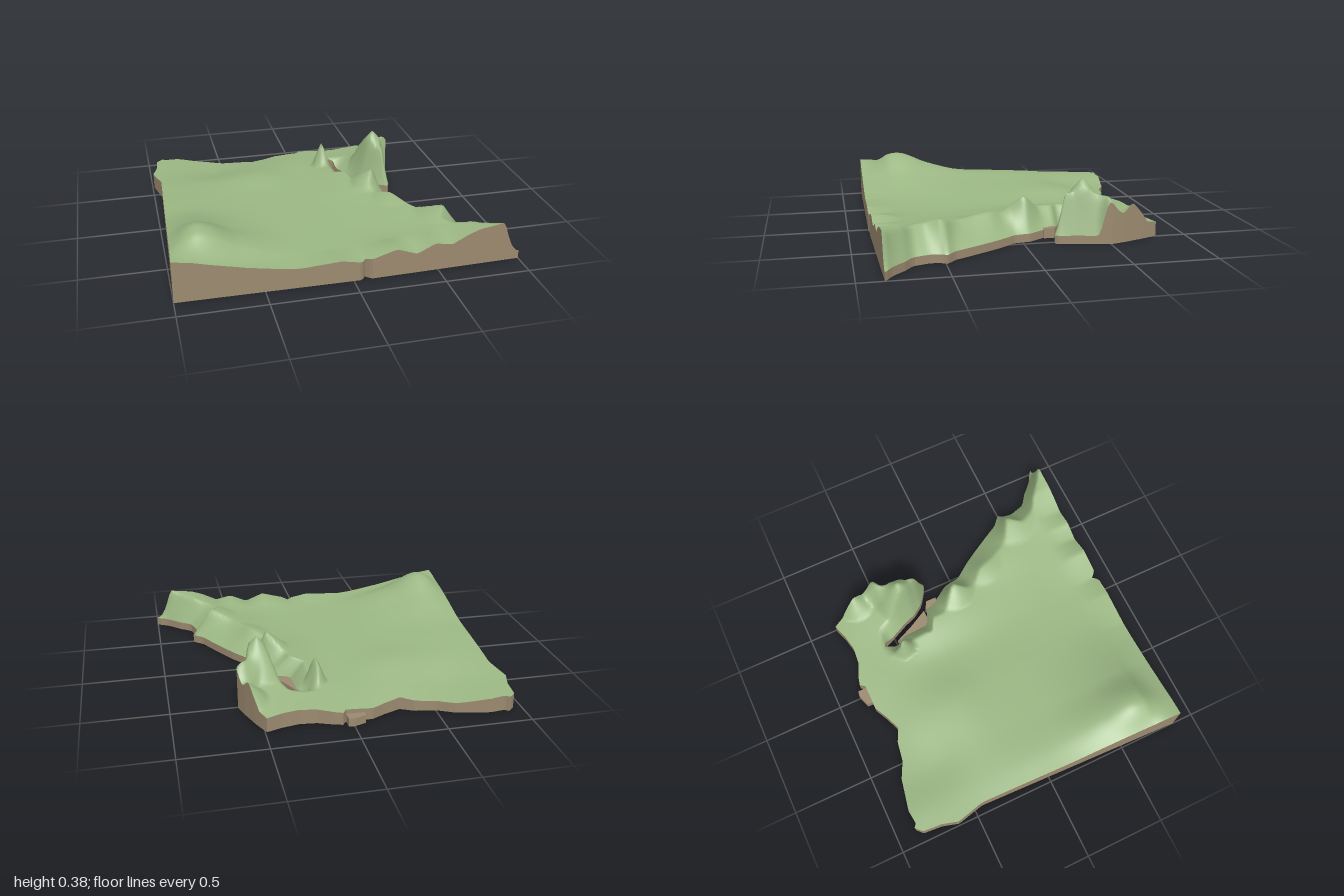
import * as THREE from 'three';

// piecewise linear profile through [t, value] pairs
function profile(points) {
  return (t) => {
    if (t <= points[0][0]) return points[0][1];
    for (let i = 1; i < points.length; i++) {
      const [a, va] = points[i - 1], [b, vb] = points[i];
      if (t <= b) return va + (vb - va) * (t - a) / (b - a);
    }
    return points[points.length - 1][1];
  };
}
const { smoothstep: step, lerp, clamp } = THREE.MathUtils;

// coastline of the main land and of the headland
const landLeft = profile([[-0.8, -0.95], [-0.7, -0.96], [-0.62, -0.99], [-0.45, -0.95], [0.87, -1]]);
const landRight = profile([[-0.57, 0.22], [-0.5, 0.21], [-0.45, 0.25], [-0.27, 0.26], [-0.23, 0.36],
  [-0.14, 0.4], [-0.05, 0.46], [0.05, 0.475], [0.15, 0.55], [0.23, 0.6], [0.35, 0.67], [0.44, 0.72],
  [0.49, 0.78], [0.52, 0.76], [0.58, 0.75], [0.68, 0.78], [0.73, 0.85], [0.78, 0.9], [0.84, 0.97], [0.87, 1]]);
const headLeft = profile([[-0.58, 0.22], [-0.57, 0.25], [-0.5, 0.28], [-0.4, 0.33], [-0.32, 0.36],
  [-0.25, 0.41], [-0.2, 0.48], [-0.18, 0.52]]);
const headRight = profile([[-0.8, 0.49], [-0.7, 0.54], [-0.6, 0.58], [-0.5, 0.61], [-0.4, 0.585],
  [-0.3, 0.56], [-0.2, 0.545], [-0.18, 0.53]]);
const backZ = profile([[-0.95, -0.84], [-0.91, -0.88], [-0.89, -0.86], [-0.8, -0.87], [-0.6, -0.83],
  [-0.5, -0.78], [-0.38, -0.76], [-0.3, -0.72], [-0.2, -0.76], [-0.12, -0.8], [0.04, -0.8], [0.06, -0.83],
  [0.1, -0.82], [0.2, -0.78], [0.3, -0.77], [0.4, -0.79], [0.49, -0.82]]);
const frontZ = profile([[-1, 0.865], [0, 0.875], [0.05, 0.875], [0.065, 0.84], [0.085, 0.84],
  [0.095, 0.873], [1, 0.85]]);
const frontHeight = profile([[-1, 0.25], [-0.9, 0.235], [-0.8, 0.21], [-0.6, 0.165], [-0.4, 0.13],
  [-0.3, 0.12], [-0.07, 0.135], [0.06, 0.11], [0.25, 0.165], [0.37, 0.12], [0.48, 0.17],
  [0.58, 0.15], [0.68, 0.2], [0.75, 0.225], [0.9, 0.245], [1, 0.05]]);
// width of the slope down to the right shore, narrow where ridges reach it
const shoreWidth = profile([[-0.55, 0.08], [-0.3, 0.08], [-0.15, 0.15], [-0.03, 0.09], [0.1, 0.18],
  [0.18, 0.15], [0.3, 0.18], [0.4, 0.18], [0.51, 0.11], [0.6, 0.15], [0.8, 0.1]]);

// rolling ground heights, rows run from back to front
const gridX = [-1, -0.83, -0.6, -0.3, 0, 0.25, 0.5, 0.75];
const gridZ = [-0.85, -0.6, -0.35, -0.1, 0.15, 0.4, 0.62, 0.87];
const heights = [
  [.09, .09, .06, .05, .07, .08, .08, .08],
  [.10, .10, .08, .10, .10, .11, .13, .13],
  [.12, .13, .13, .14, .11, .16, .18, .18],
  [.135, .15, .14, .13, .115, .16, .19, .18],
  [.15, .17, .15, .13, .115, .14, .18, .17],
  [.19, .24, .18, .13, .115, .13, .17, .18],
  [.22, .32, .21, .13, .115, .13, .16, .21],
  [.25, .23, .165, .12, .12, .16, .17, .22],
];
// smooth curve through values at the given stations
function curveAt(stations, valueAt, s) {
  const last = stations.length - 1;
  let i = 0;
  while (i < last - 1 && s > stations[i + 1]) i++;
  const slope = (k) => {
    const a = Math.max(k - 1, 0), b = Math.min(k + 1, last);
    return (valueAt(b) - valueAt(a)) / (stations[b] - stations[a]);
  };
  const span = stations[i + 1] - stations[i], u = clamp((s - stations[i]) / span, 0, 1);
  const u2 = u * u, u3 = u2 * u;
  return (2 * u3 - 3 * u2 + 1) * valueAt(i) + (u3 - 2 * u2 + u) * span * slope(i)
    + (3 * u2 - 2 * u3) * valueAt(i + 1) + (u3 - u2) * span * slope(i + 1);
}
// x, z, height, radius of the summits
const peaks = [[0.47, -0.36, 0.385, 0.17], [0.58, -0.47, 0.31, 0.11], [0.57, -0.645, 0.235, 0.12],
  [0.51, -0.265, 0.3, 0.08], [0.15, -0.48, 0.29, 0.07], [0.37, -0.03, 0.26, 0.14],
  [0.46, 0.2, 0.19, 0.15], [0.66, 0.51, 0.22, 0.18]];

function groundHeight(x, z) {
  const rows = heights.map((row) => curveAt(gridX, (k) => row[k], x));
  let h = curveAt(gridZ, (k) => rows[k], z);
  for (const [px, pz, ph, r] of peaks) {
    const d = Math.hypot(x - px, z - pz) / r;
    if (d < 1) h += Math.max(0, ph - h) * (1 - d);
  }
  return h;
}

// slab of land: grassy top, earth walls and earth underside
function buildLand(name, grass, earth, o) {
  const points = [];
  for (let j = 0; j <= o.rows; j++) {
    const t = lerp(-0.8, o.end, j / o.rows);
    for (let i = 0; i <= o.cols; i++) {
      const x = lerp(o.left(t), o.right(t), i / o.cols);
      const z = t + (backZ(x) + 0.8) * (1 - step(t, -0.8, -0.58)) + (frontZ(x) - 0.87) * step(t, 0.8, 0.87);
      points.push(new THREE.Vector3(x, o.height(x, z, t), z));
    }
  }
  const w = o.cols + 1, topIndex = [], baseIndex = [];
  for (let j = 0; j < o.rows; j++) for (let i = 0; i < o.cols; i++) {
    const a = j * w + i, b = a + 1, c = a + w, d = c + 1;
    topIndex.push(a, c, b, b, c, d);
    baseIndex.push(a, b, c, b, d, c);
  }
  const group = new THREE.Group();
  group.name = name;
  const add = (part, positions, index, material) => {
    const g = new THREE.BufferGeometry();
    g.setAttribute('position', new THREE.Float32BufferAttribute(positions, 3));
    if (index) g.setIndex(index);
    g.computeVertexNormals();
    const mesh = new THREE.Mesh(g, material);
    mesh.name = part;
    group.add(mesh);
  };
  add('grassTop', points.flatMap((p) => [p.x, p.y, p.z]), topIndex, grass);
  add('earthBase', points.flatMap((p) => [p.x, 0, p.z]), baseIndex, earth);

  // walls follow the rim: front, right, back, left
  const rim = [];
  for (let i = 0; i < o.cols; i++) rim.push(o.rows * w + i);
  for (let j = o.rows; j > 0; j--) rim.push(j * w + o.cols);
  for (let i = o.cols; i > 0; i--) rim.push(i);
  for (let j = 0; j < o.rows; j++) rim.push(j * w);
  const wall = [];
  rim.forEach((id, k) => {
    const p = points[id], q = points[rim[(k + 1) % rim.length]];
    // the seam between main land and headland is open
    if (Math.max(p.z, q.z) < -0.58 && Math.abs(p.x - 0.22) + Math.abs(q.x - 0.22) < 1e-6) return;
    wall.push(p.x, 0, p.z, q.x, 0, q.z, q.x, q.y, q.z, p.x, 0, p.z, q.x, q.y, q.z, p.x, p.y, p.z);
  });
  add('earthWall', wall, null, earth);
  return group;
}

export function createModel() {
  const model = new THREE.Group();
  model.name = 'terrain';
  const grass = new THREE.MeshStandardMaterial({ color: 0x9cb884 });
  grass.name = 'grass green';
  const earth = new THREE.MeshStandardMaterial({ color: 0x9c8a70 });
  earth.name = 'earth brown';

  // main land, sloping to a low shore on its right side
  model.add(buildLand('mainLand', grass, earth, {
    left: landLeft, right: landRight, end: 0.87, rows: 84, cols: 110,
    height: (x, z, t) => {
      const h = lerp(groundHeight(x, z), frontHeight(x), clamp((t - 0.69) / 0.18, 0, 1));
      const shore = Math.min(1, (landRight(t) - x) / shoreWidth(t));
      return lerp(h, lerp(0.05, h, shore), step(t, -0.6, -0.52));
    },
  }));

  // headland: low shore to the left and front, steep cliff on the right
  model.add(buildLand('headland', grass, earth, {
    left: headLeft, right: headRight, end: -0.18, rows: 40, cols: 20,
    height: (x, z, t) => {
      const h = groundHeight(x, z);
      const west = Math.min(1, (x - headLeft(t)) / 0.08);
      const east = lerp(1, Math.min(1, (headRight(t) - x) / 0.05), step(t, -0.5, -0.42));
      const south = Math.min(1, (-0.18 - t) / 0.06);
      return lerp(h, lerp(0.05, h, Math.min(west, east, south)), step(t, -0.6, -0.52));
    },
  }));

  // bare earth ledges along the shore
  const ledge = (corners, height) => {
    const shape = new THREE.Shape(corners.map(([x, z]) => new THREE.Vector2(x, -z)));
    const g = new THREE.ExtrudeGeometry(shape, { depth: height, bevelEnabled: false });
    const mesh = new THREE.Mesh(g.rotateX(-Math.PI / 2), earth);
    mesh.name = 'earthLedge';
    model.add(mesh);
  };
  ledge([[0.24, -0.49], [0.24, -0.25], [0.36, -0.25], [0.3, -0.36]], 0.05);
  ledge([[0.36, -0.24], [0.36, -0.145], [0.41, -0.145], [0.41, -0.21]], 0.06);
  ledge([[-0.07, -0.835], [-0.07, -0.8], [0.035, -0.8], [0.035, -0.855], [0, -0.86]], 0.05);
  return model;
}
